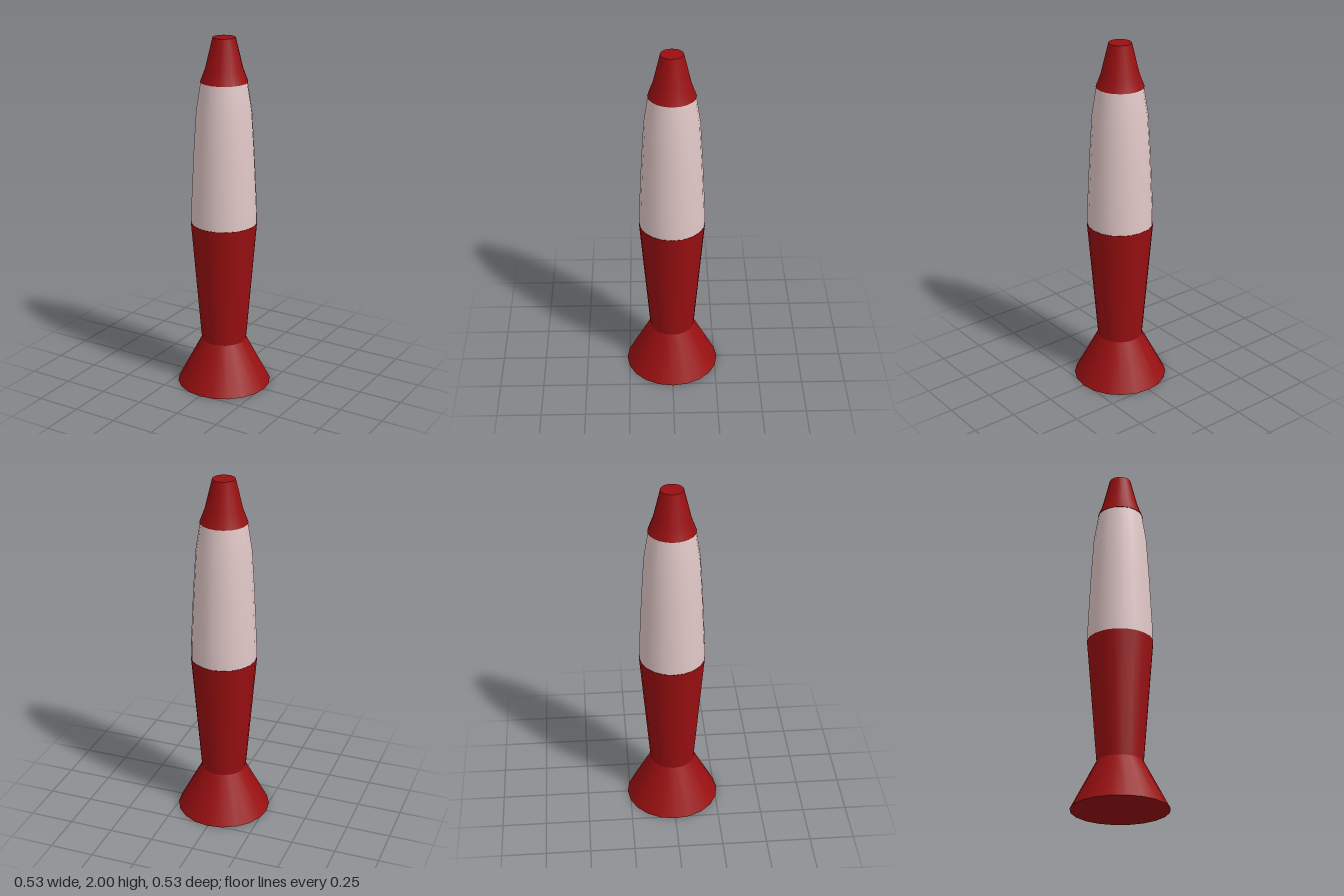
import * as THREE from 'three';

const SIDES = 20;
const red = new THREE.MeshStandardMaterial({ color: 0x990f11 });
const glass = new THREE.MeshStandardMaterial({ color: 0xe0c6c6 });

// Turned surface from [radius, height] pairs, listed so faces point outward
function turned(name, material, profile) {
  const points = profile.map(([r, y]) => new THREE.Vector2(r, y));
  const mesh = new THREE.Mesh(new THREE.LatheGeometry(points, SIDES), material);
  mesh.name = name;
  return mesh;
}

export function createModel() {
  const lamp = new THREE.Group();
  lamp.name = 'lavaLamp';
  lamp.add(
    // Flared foot with a closed underside
    turned('footUnderside', red, [[0, 0], [0.265, 0]]),
    turned('foot', red, [[0.265, 0], [0.127, 0.265]]),
    // Tapered cup holding the bottle
    turned('cup', red, [[0.127, 0.265], [0.185, 0.965]]),
    turned('cupRim', red, [[0.185, 0.965], [0, 0.965]]),
    // Glass bottle
    turned('bottle', glass, [[0.183, 0.965], [0.181, 1.07], [0.167, 1.36], [0.152, 1.6], [0.127, 1.76]]),
    // Cap with a closed underside and flat top
    turned('capUnderside', red, [[0, 1.76], [0.13, 1.76]]),
    turned('cap', red, [[0.13, 1.76], [0.102, 1.835], [0.062, 2]]),
    turned('capTop', red, [[0.062, 2], [0, 2]]),
  );
  return lamp;
}
